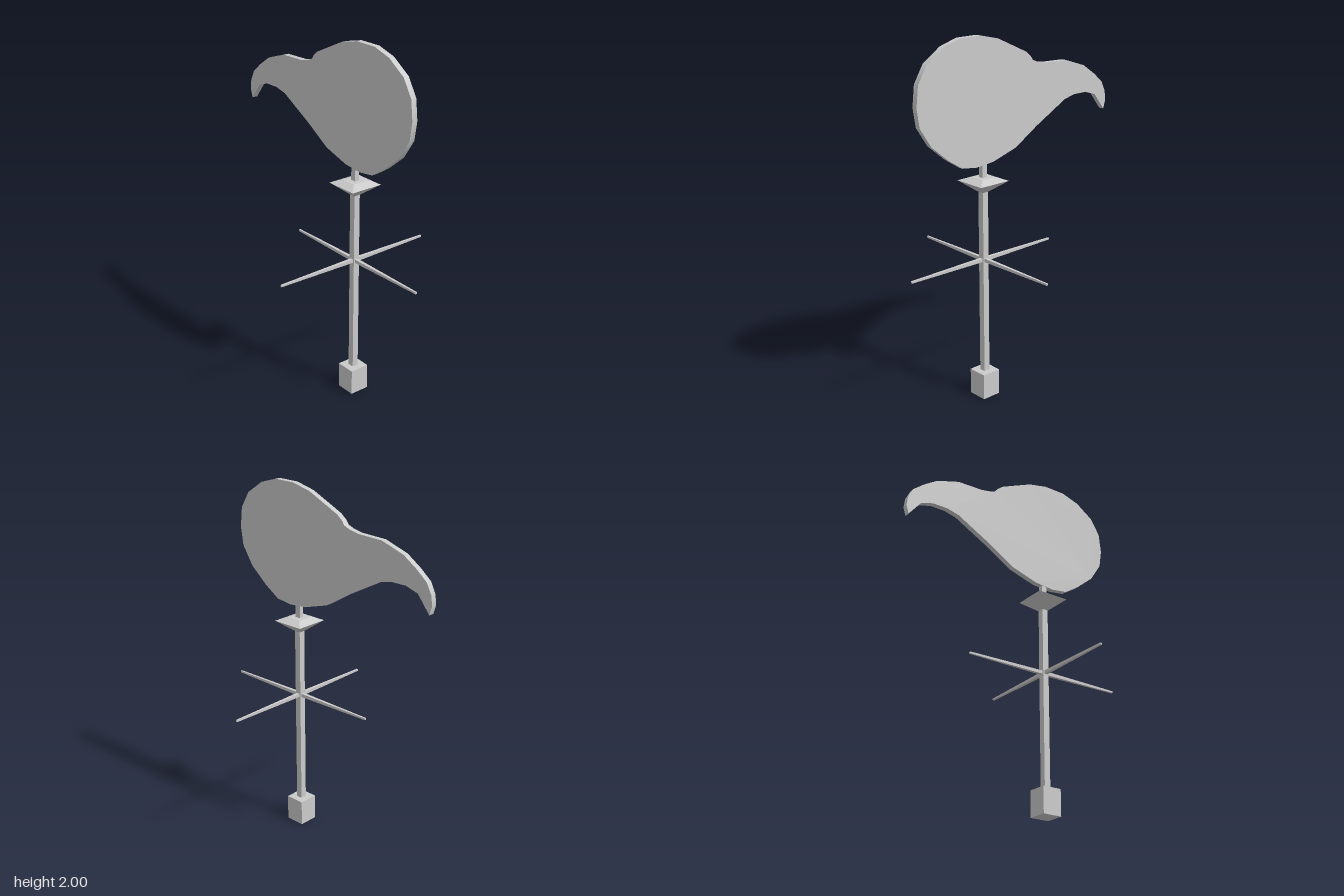
import * as THREE from 'three';
import { toCreasedNormals } from 'three/addons/utils/BufferGeometryUtils.js';

const X = 0.21, Z = -0.003; // axis of the post

export function createModel() {
  const group = new THREE.Group();
  const flat = new THREE.MeshStandardMaterial({ color: 0xcccccc, flatShading: true });
  const smooth = new THREE.MeshStandardMaterial({ color: 0xcccccc });

  const add = (name, geometry, y, material = flat, parent = group) => {
    const mesh = new THREE.Mesh(geometry, material);
    mesh.name = name;
    mesh.position.y = y;
    parent.add(mesh);
    return mesh;
  };

  // Everything on the post shares its axis
  const stand = new THREE.Group();
  stand.name = 'stand';
  stand.position.set(X, 0, Z);
  group.add(stand);

  // Square frustum with half widths at top and bottom
  const frustum = (top, bottom, height) =>
    new THREE.CylinderGeometry(top * Math.SQRT2, bottom * Math.SQRT2, height, 4).rotateY(Math.PI / 4);

  add('base', new THREE.BoxGeometry(0.112, 0.146, 0.112), 0.073, flat, stand);
  add('post', new THREE.BoxGeometry(0.036, 1.05, 0.036), 0.665, flat, stand);
  add('neck', new THREE.BoxGeometry(0.032, 0.18, 0.026), 1.27, flat, stand);

  // Diamond-shaped collar
  add('collarLower', frustum(0.095, 0.02, 0.06), 1.21, flat, stand);
  add('collarUpper', frustum(0.046, 0.095, 0.02), 1.25, flat, stand);

  // Four tapered direction arms
  for (let i = 0; i < 4; i++) {
    const arm = frustum(0.005, 0.01, 0.486).translate(0, 0.243, 0).rotateX(Math.PI / 2).rotateY(i * Math.PI / 2);
    add('arm' + (i + 1), arm, 0.8, flat, stand);
  }

  // Flat bird silhouette, counter-clockwise from the beak tip
  const outline = [
    [-0.685, 1.49], [-0.611, 1.583], [-0.537, 1.607], [-0.447, 1.607], [-0.373, 1.59],
    [-0.16, 1.475], [-0.008, 1.382], [0.151, 1.334], [0.267, 1.324], [0.362, 1.337],
    [0.452, 1.395], [0.558, 1.483], [0.627, 1.589], [0.643, 1.692], [0.63, 1.804],
    [0.574, 1.896], [0.468, 1.968], [0.362, 2], [0.23, 2], [0.114, 1.973],
    [-0.024, 1.91], [-0.082, 1.883], [-0.114, 1.857], [-0.13, 1.835], [-0.167, 1.82],
    [-0.225, 1.809], [-0.378, 1.804], [-0.516, 1.759], [-0.6, 1.703], [-0.664, 1.65],
    [-0.693, 1.592], [-0.7, 1.538],
  ];
  const shape = new THREE.Shape(outline.map(([x, y]) => new THREE.Vector2(x, y)));
  const plate = new THREE.ExtrudeGeometry(shape, { depth: 0.032, bevelEnabled: false });
  plate.translate(0, 0, Z - 0.016);
  add('birdPlate', toCreasedNormals(plate, 0.7), 0, smooth);

  return group;
}
